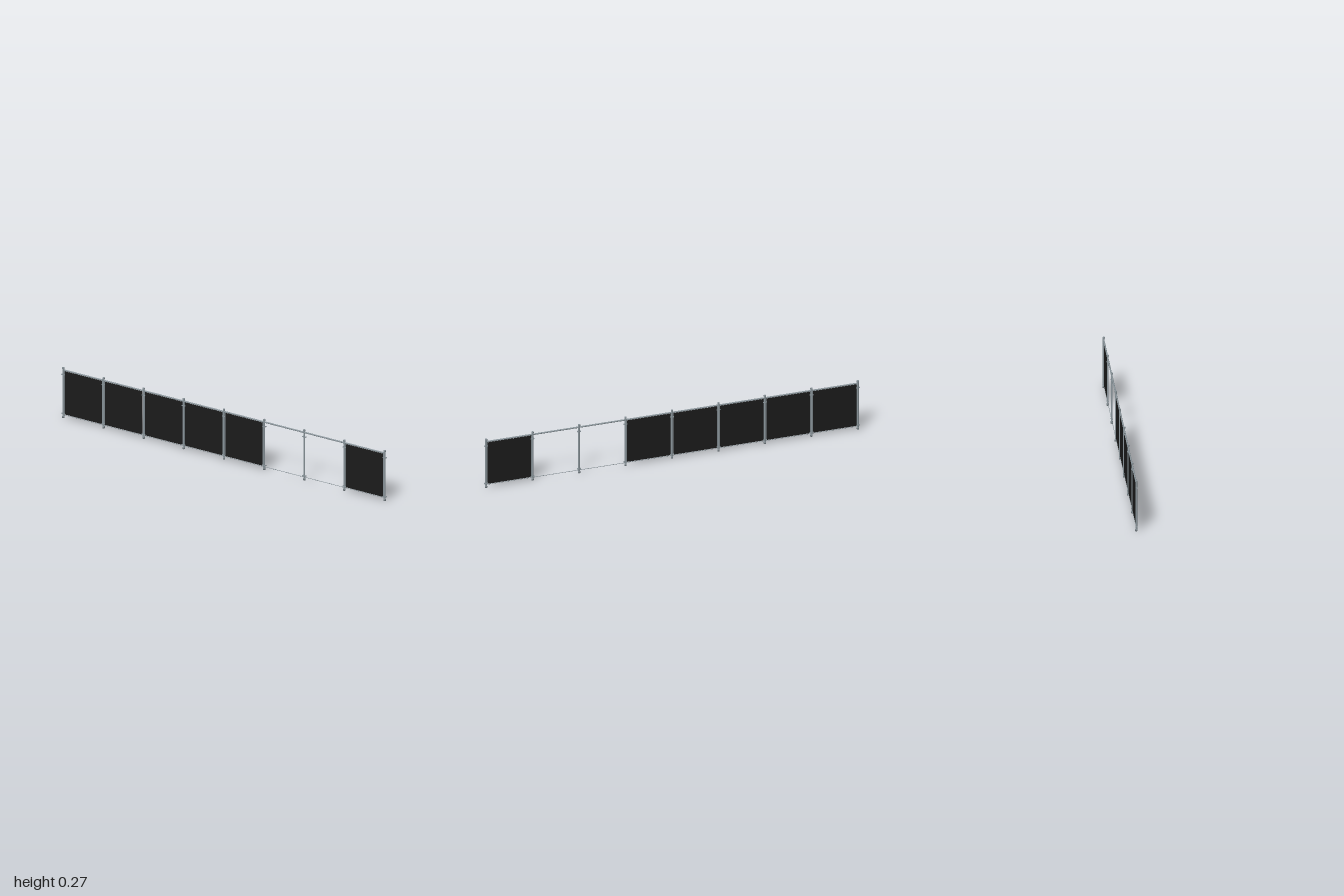
import * as THREE from 'three';

export function createModel() {
  const model = new THREE.Group();
  model.name = 'fence';
  const material = (name, color) => {
    const m = new THREE.MeshStandardMaterial({ color });
    m.name = name;
    return m;
  };
  const steel = material('galvanised steel', 0x8a959b);
  const netting = material('dark netting', 0x1b1b1b);
  netting.side = THREE.DoubleSide;

  const add = (parent, name, geometry, mat, x, y) => {
    const mesh = new THREE.Mesh(geometry, mat);
    mesh.name = name;
    mesh.position.set(x, y, 0);
    parent.add(mesh);
  };

  const bays = 8, end = 0.99, pitch = (2 * end) / bays;
  const openBays = [5, 6];

  // Posts with a foot collar, a flat cap and two clamps
  const postGeo = new THREE.CylinderGeometry(0.0047, 0.0047, 0.266, 16);
  const footGeo = new THREE.LatheGeometry(
    [[0, 0], [0.0062, 0], [0.0062, 0.009], [0.0047, 0.013]].map(p => new THREE.Vector2(...p)), 16);
  const capGeo = new THREE.CylinderGeometry(0.0062, 0.0062, 0.008, 16);
  const clampGeo = new THREE.BoxGeometry(0.02, 0.004, 0.0098);
  for (let i = 0; i <= bays; i++) {
    const post = new THREE.Group();
    post.name = 'post';
    post.position.x = -end + i * pitch;
    add(post, 'postTube', postGeo, steel, 0, 0.134);
    add(post, 'postFoot', footGeo, steel, 0, 0);
    add(post, 'postCap', capGeo, steel, 0, 0.268);
    for (const y of [0.023, 0.233]) add(post, 'clamp', clampGeo, steel, 0, y);
    model.add(post);
  }

  // Top rail and bottom wire along the whole run
  const rail = (name, radius, y) => {
    const geo = new THREE.CylinderGeometry(radius, radius, 2 * end, 12).rotateZ(Math.PI / 2);
    add(model, name, geo, steel, 0, y);
  };
  rail('topRail', 0.004, 0.257);
  rail('bottomWire', 0.0013, 0.016);

  // Netting panels, held by a thin tension bar at each side
  const panelGeo = new THREE.PlaneGeometry(pitch - 0.015, 0.233);
  const barGeo = new THREE.CylinderGeometry(0.0011, 0.0011, 0.233, 8);
  for (let i = 0; i < bays; i++) {
    if (openBays.includes(i)) continue;
    const x = -end + (i + 0.5) * pitch;
    add(model, 'nettingPanel', panelGeo, netting, x, 0.1355);
    for (const side of [-1, 1]) add(model, 'tensionBar', barGeo, steel, x + side * (pitch / 2 - 0.0075), 0.1355);
  }
  return model;
}
